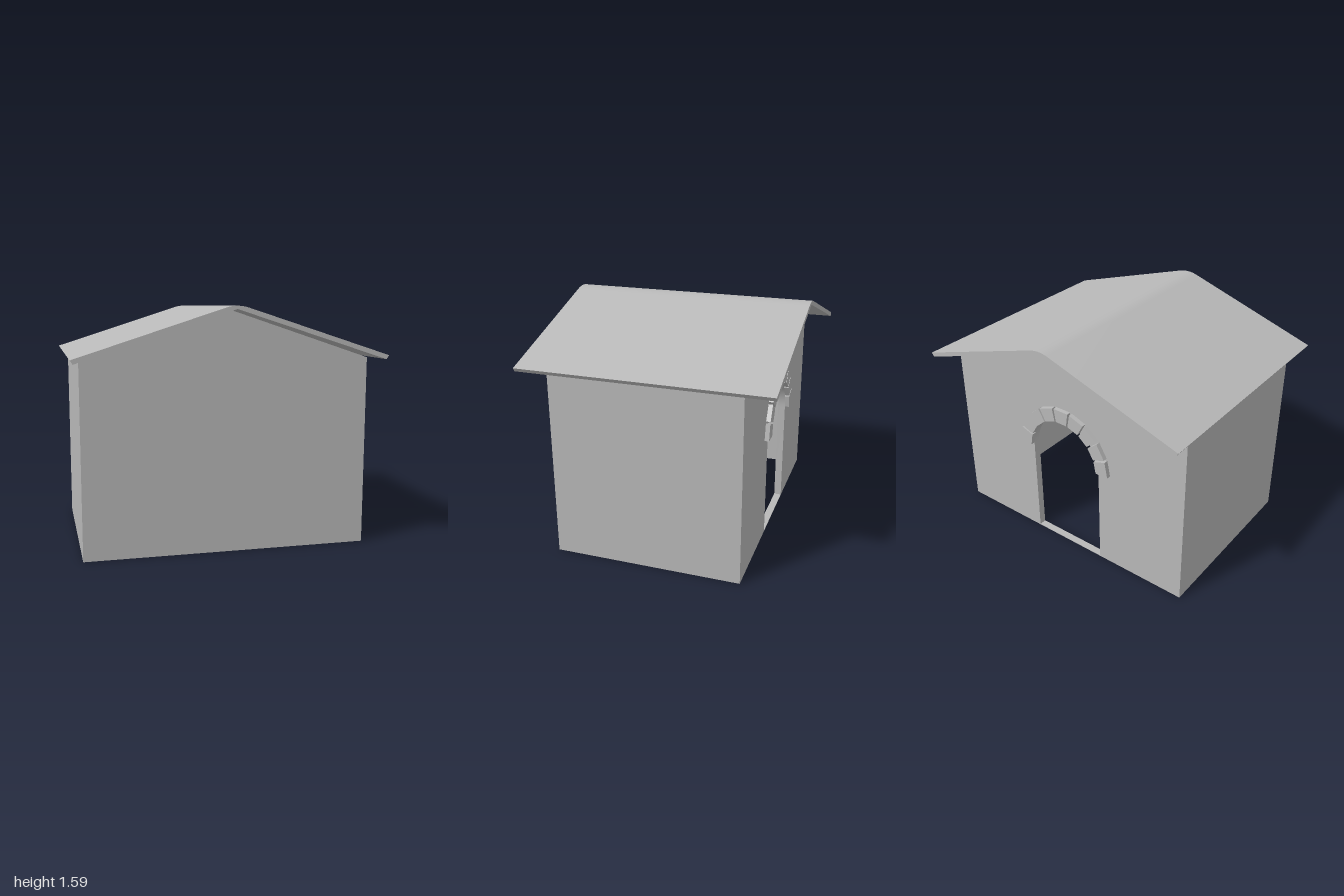
import * as THREE from 'three';
import { toCreasedNormals } from 'three/addons/utils/BufferGeometryUtils.js';

const W = 0.94, D = 0.625, T = 0.05;   // half width, half depth, wall thickness
const EAVE = 1.255, PEAK = 1.568;
const DOOR_R = 0.28, SPRING = 0.725;   // door arch radius and centre height

export function createModel() {
  const group = new THREE.Group();
  const grey = new THREE.MeshStandardMaterial({ color: 0xb8b8b8 });
  grey.name = 'plain grey';

  const add = (name, geometry, x = 0, y = 0, z = 0) => {
    const mesh = new THREE.Mesh(geometry, grey);
    mesh.name = name;
    mesh.position.set(x, y, z);
    group.add(mesh);
    return mesh;
  };
  const extrude = (shape, depth) => toCreasedNormals(
    new THREE.ExtrudeGeometry(shape, { depth, bevelEnabled: false, curveSegments: 16 }), 0.4);
  const polygon = (points) => new THREE.Shape(points.map(([x, y]) => new THREE.Vector2(x, y)));

  // Gable walls, the back one with an arched doorway and a thin threshold
  const gable = () => polygon([[-W, 0], [W, 0], [W, EAVE], [0, PEAK], [-W, EAVE]]);
  add('frontWall', extrude(gable(), T), 0, 0, D - T);

  const door = new THREE.Path();
  door.moveTo(-DOOR_R, 0.004);
  door.lineTo(-DOOR_R, SPRING);
  door.absarc(0, SPRING, DOOR_R, Math.PI, 0, true);
  door.lineTo(DOOR_R, 0.004);
  door.closePath();
  const doorWall = gable();
  doorWall.holes.push(door);
  add('doorWall', extrude(doorWall, T), 0, 0, -D);

  // Side walls between the gables
  for (const s of [-1, 1]) {
    add(s > 0 ? 'leftWall' : 'rightWall',
      new THREE.BoxGeometry(T, EAVE, 2 * (D - T)), s * (W - T / 2), EAVE / 2, 0);
  }

  // Roof: one folded sheet with a rounded ridge
  const roof = new THREE.Shape();
  roof.moveTo(0, 1.571);
  roof.lineTo(0.983, 1.255);
  roof.lineTo(1, 1.28);
  roof.lineTo(0.07, 1.58);
  roof.quadraticCurveTo(0, 1.602, -0.07, 1.58);
  roof.lineTo(-1, 1.28);
  roof.lineTo(-0.983, 1.255);
  roof.closePath();
  add('roof', extrude(roof, 1.64), 0, 0, -0.82);

  // Nine wedge stones around the door arch
  const stones = 9, step = Math.PI / stones, gap = 0.02;
  for (let i = 0; i < stones; i++) {
    const a = i * step + gap, b = (i + 1) * step - gap;
    const at = (r, t) => [r * Math.cos(t), SPRING + r * Math.sin(t)];
    const stone = polygon([at(DOOR_R, a), at(0.375, a), at(0.375, b), at(DOOR_R, b)]);
    add('archStone' + (i + 1), extrude(stone, 0.03), 0, 0, -D - 0.03);
  }
  return group;
}
